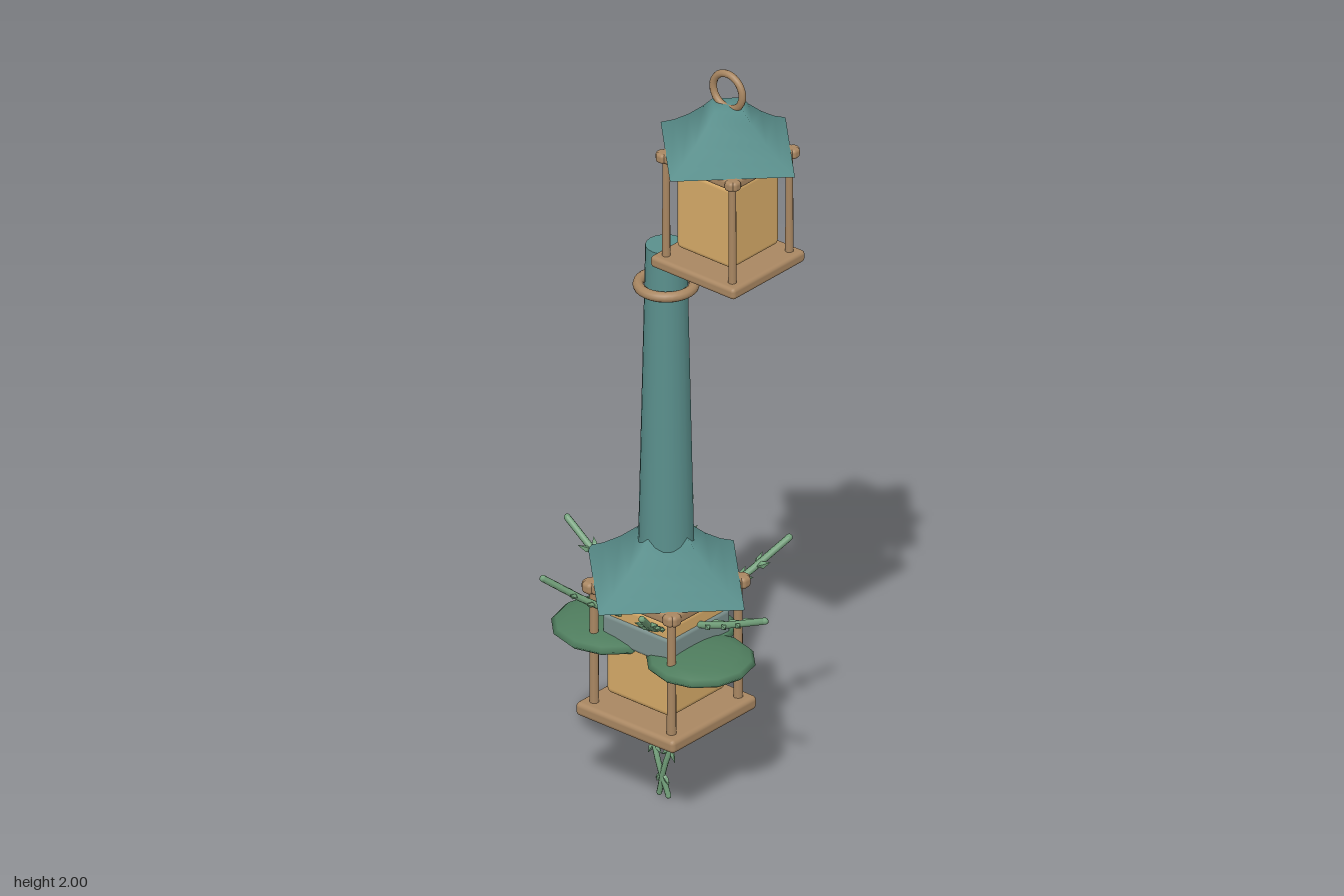
import * as THREE from 'three';
import { RoundedBoxGeometry } from 'three/addons/geometries/RoundedBoxGeometry.js';

const mat = (name, color, side = THREE.FrontSide) => {
  const m = new THREE.MeshStandardMaterial({ color, side });
  m.name = name;
  return m;
};

export function createModel() {
  const teal = mat('teal', 0x5a8f8c, THREE.DoubleSide);
  const wood = mat('wood', 0xa98762);
  const amber = mat('amber', 0xd6aa68);
  const padGreen = mat('pad green', 0x4f7d5e);
  const twigGreen = mat('twig green', 0x74a27c);
  const stone = mat('stone grey', 0x7b908d);

  const model = new THREE.Group();
  const V = (x, y, z) => new THREE.Vector3(x, y, z);
  const AXIS = -0.045; // x of the tower and lower lantern

  function add(parent, name, geometry, material, x = 0, y = 0, z = 0) {
    const mesh = new THREE.Mesh(geometry, material);
    mesh.name = name;
    mesh.position.set(x, y, z);
    parent.add(mesh);
    return mesh;
  }

  // Square lantern: base, glowing core, four posts, top rails, diamond roof
  function lantern(name, x, y, scale) {
    const g = new THREE.Group();
    g.name = name;
    g.position.set(x, y, 0);
    g.scale.setScalar(scale);
    add(g, 'basePlate', new RoundedBoxGeometry(0.26, 0.03, 0.26, 2, 0.01), wood, 0, 0.015, 0);
    add(g, 'core', new RoundedBoxGeometry(0.174, 0.216, 0.174, 3, 0.014), amber, 0, 0.157, 0);
    for (const sx of [-1, 1]) {
      for (const sz of [-1, 1]) {
        add(g, 'post', new THREE.CylinderGeometry(0.009, 0.01, 0.265, 10), wood, sx * 0.102, 0.16, sz * 0.102);
      }
      add(g, 'topRail', new RoundedBoxGeometry(0.25, 0.026, 0.026, 2, 0.009), wood, 0, 0.293, sx * 0.106);
      add(g, 'topRail', new RoundedBoxGeometry(0.026, 0.026, 0.25, 2, 0.009), wood, sx * 0.106, 0.293, 0);
    }
    const profile = [[0.207, 0.305], [0.165, 0.327], [0.12, 0.358], [0.075, 0.396], [0.048, 0.424], [0, 0.425]];
    add(g, 'roof', new THREE.LatheGeometry(profile.map(p => new THREE.Vector2(...p)), 4), teal);
    model.add(g);
    return g;
  }

  lantern('lowerLantern', AXIS, 0.225, 1.17);
  const upper = lantern('upperLantern', 0.145, 1.485, 1);
  add(upper, 'hangingRing', new THREE.TorusGeometry(0.045, 0.009, 10, 28), wood, 0, 0.461, 0);

  // Stone band around the lower core
  add(model, 'stoneBand', new RoundedBoxGeometry(0.214, 0.07, 0.214, 2, 0.01), stone, AXIS, 0.46, 0);

  // Tapered tower with collar ring and a branch holding the upper lantern
  add(model, 'tower', new THREE.CylinderGeometry(0.049, 0.066, 0.8, 20), teal, AXIS, 1.07, 0);
  const collar = add(model, 'collarRing', new THREE.TorusGeometry(0.066, 0.013, 10, 28), wood, AXIS, 1.365, 0);
  collar.rotation.x = Math.PI / 2;
  const from = V(-0.03, 1.44, 0), to = V(0.14, 1.503, 0);
  const arm = add(model, 'arm', new THREE.CylinderGeometry(0.012, 0.024, from.distanceTo(to), 10), wood);
  arm.position.copy(from).lerp(to, 0.5);
  arm.quaternion.setFromUnitVectors(V(0, 1, 0), to.clone().sub(from).normalize());

  // Flat moss pads spreading around the lower lantern
  for (const [x, z, r] of [[-0.18, 0.037, 0.145], [0.092, 0.035, 0.13], [-0.04, -0.062, 0.122]]) {
    const pad = add(model, 'mossPad', new THREE.SphereGeometry(r, 12, 8), padGreen, x, 0.426, z);
    pad.scale.y = 0.027 / r;
  }

  // Twig along a curve with paired pointed leaves
  function twig(name, points, radius, stops, size) {
    const g = new THREE.Group();
    g.name = name;
    const curve = new THREE.CatmullRomCurve3(points);
    add(g, 'stem', new THREE.TubeGeometry(curve, 12, radius, 7), twigGreen);
    for (const end of [0, 1]) {
      add(g, 'stemEnd', new THREE.SphereGeometry(radius, 7, 5), twigGreen).position.copy(points[end ? points.length - 1 : 0]);
    }
    const leafGeo = new THREE.OctahedronGeometry(1, 0);
    for (const t of stops) {
      const p = curve.getPointAt(t), dir = curve.getTangentAt(t);
      // leaves fan out horizontally on twigs, and along x on hanging vines
      const side = Math.abs(dir.y) > 0.8 ? V(1, 0, 0) : V(-dir.z, 0, dir.x).normalize();
      for (const s of [-1, 1]) {
        const d = dir.clone().multiplyScalar(0.8).addScaledVector(side, s * 0.62).normalize();
        const leaf = add(g, 'leaf', leafGeo, twigGreen);
        leaf.position.copy(p).addScaledVector(d, size * 0.95);
        leaf.quaternion.setFromUnitVectors(V(0, 1, 0), d);
        leaf.scale.set(size * 0.38, size, size * 0.32);
      }
    }
    model.add(g);
  }

  // Six twigs radiating up and out from the stone band
  for (let i = 0; i < 6; i++) {
    const a = i * Math.PI / 3;
    const tipY = i === 0 ? 0.575 : 0.635;
    const at = (r, y) => V(AXIS + r * Math.cos(a), y, r * Math.sin(a));
    twig('twig', [at(0.06, 0.48), at(0.18, 0.48 + (tipY - 0.48) * 0.42), at(0.305, tipY)], 0.0085, [0.25, 0.45, 0.63], 0.024);
  }

  // Two crossing vines hanging below the base
  for (const s of [-1, 1]) {
    const x = d => AXIS + s * d;
    twig('hangingVine', [V(x(0.055), 0.285, -0.012), V(x(0.045), 0.2, 0.004), V(x(0.012), 0.1, 0.016), V(x(-0.014), 0.01, 0.008)],
      0.007, [0.3, 0.52, 0.78], 0.018);
  }
  return model;
}
